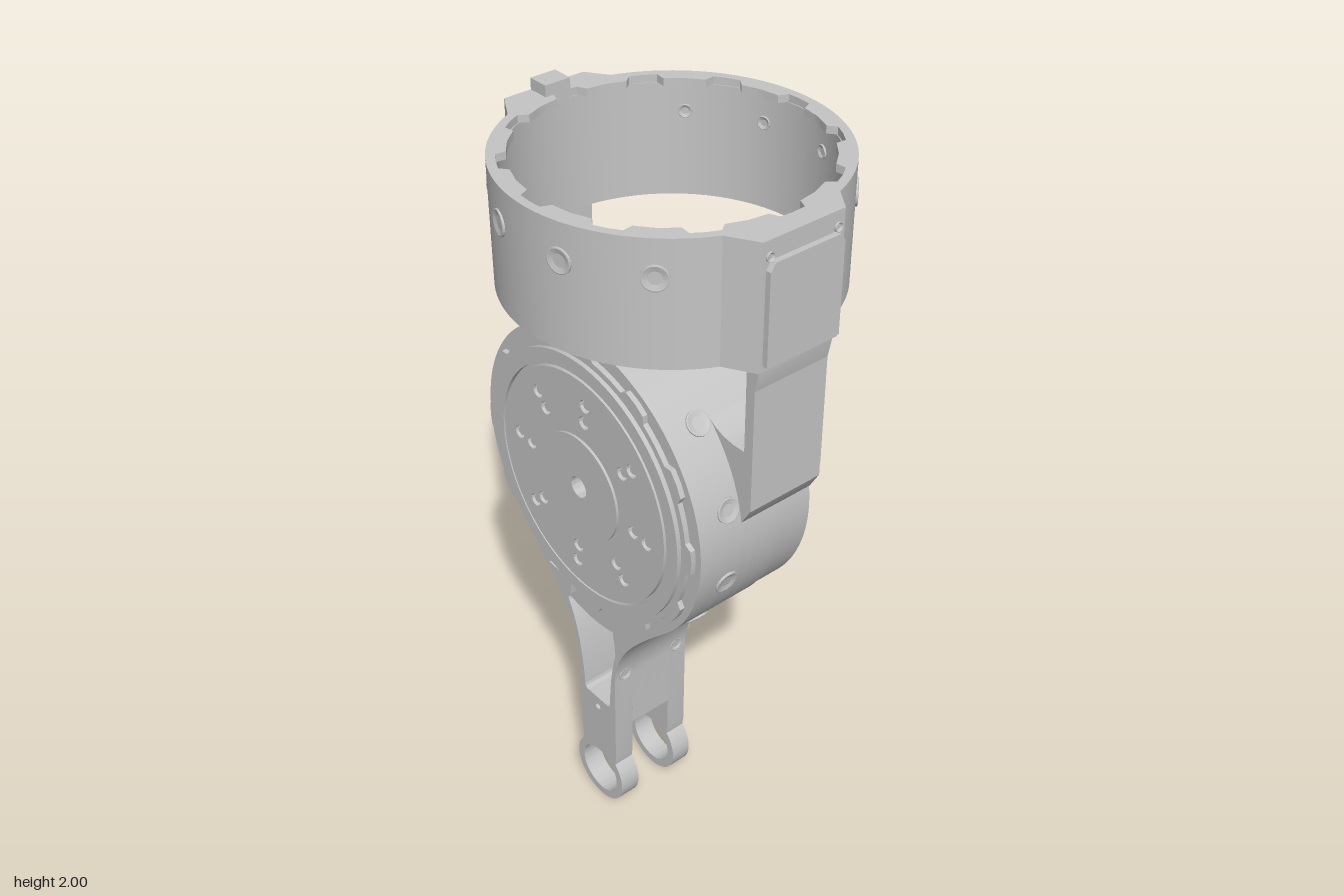
import * as THREE from 'three';
import { toCreasedNormals } from 'three/addons/utils/BufferGeometryUtils.js';

const V = (x, y, z) => new THREE.Vector3(x, y, z);
const MY = 1.14; // height of the motor axis

export function createModel() {
  const root = new THREE.Group();
  const grey = new THREE.MeshStandardMaterial({ color: 0xc4c4c4 });
  grey.name = 'lightGrey';
  const add = (name, geo) => {
    const m = new THREE.Mesh(geo, grey);
    m.name = name;
    root.add(m);
    return m;
  };
  const circle = (x, y, r) => new THREE.Path().absarc(x, y, r, 0, Math.PI * 2, true);
  const disk = (r, y = MY) => new THREE.Shape().absarc(0, y, r, 0, Math.PI * 2, false);
  const poly = pts => new THREE.Shape(pts.map(p => new THREE.Vector2(p[0], p[1])));
  const solid = (shape, depth) => toCreasedNormals(
    new THREE.ExtrudeGeometry(shape, { depth, bevelEnabled: false, curveSegments: 40 }), 0.5);
  // extrude from z0 to z1
  const slab = (name, shape, z0, z1, holes = []) => {
    shape.holes.push(...holes);
    return add(name, solid(shape, z1 - z0).translate(0, 0, z0));
  };
  const box = (name, x0, x1, y0, y1, z0, z1) => add(name,
    new THREE.BoxGeometry(x1 - x0, y1 - y0, z1 - z0).translate((x0 + x1) / 2, (y0 + y1) / 2, (z0 + z1) / 2));
  // countersunk screw seat standing on a surface
  const rim = (name, pos, dir, r) => {
    const pts = [[r, -0.008], [r, 0.004], [r * 0.92, 0.005], [r * 0.5, 0.001], [0, 0.001]];
    const m = add(name, toCreasedNormals(new THREE.LatheGeometry(pts.map(p => new THREE.Vector2(...p)), 24), 0.1));
    m.position.copy(pos);
    m.quaternion.setFromUnitVectors(V(0, 1, 0), dir);
  };
  const axle = () => circle(0, MY, 0.03);

  // Housing and arm, sliced along z so the pockets and the fork stay open
  const armOutline = fork => {
    const s = new THREE.Shape();
    s.absarc(0, MY, 0.425, -Math.PI / 4, Math.PI * 1.25, false);
    s.bezierCurveTo(-0.17, 0.71, -0.085, 0.62, -0.08, 0.5);
    if (fork) {
      s.lineTo(-0.075, 0.2);
      s.absarc(0, 0.1, 0.1, Math.PI * 0.75, Math.PI * 2.25, false);
      s.lineTo(0.075, 0.2);
    } else {
      s.lineTo(-0.077, 0.31);
      s.lineTo(0.077, 0.31);
    }
    s.lineTo(0.08, 0.5);
    s.bezierCurveTo(0.085, 0.62, 0.17, 0.71, 0.3005, 0.8395);
    return s;
  };
  const pocket = () => {
    const p = new THREE.Path();
    p.moveTo(-0.1, 0.69);
    p.quadraticCurveTo(0, 0.66, 0.1, 0.69);
    p.quadraticCurveTo(0.125, 0.69, 0.11, 0.665);
    p.quadraticCurveTo(0.065, 0.58, 0.055, 0.4);
    p.quadraticCurveTo(0.055, 0.385, 0.04, 0.385);
    p.lineTo(-0.04, 0.385);
    p.quadraticCurveTo(-0.055, 0.385, -0.055, 0.4);
    p.quadraticCurveTo(-0.065, 0.58, -0.11, 0.665);
    p.quadraticCurveTo(-0.125, 0.69, -0.1, 0.69);
    return p;
  };
  const eye = () => circle(0, 0.1, 0.075);
  const pin = () => circle(0, 0.35, 0.01);
  slab('armBackCheek', armOutline(true), 0.02, 0.08, [axle(), pocket(), eye(), pin()]);
  slab('armBackCore', armOutline(false), 0.08, 0.12, [axle(), pocket()]);
  slab('armWeb', armOutline(false), 0.12, 0.16, [axle()]);
  slab('armFrontCore', armOutline(false), 0.16, 0.21, [axle(), pocket()]);
  slab('armFrontCheek', armOutline(true), 0.21, 0.27, [axle(), pocket(), eye(), pin()]);
  for (const s of [-1, 1])
    for (const z of [0.055, 0.235]) rim('armScrew', V(0.079 * s, 0.515, z), V(s, 0, 0), 0.02);
  for (let i = 0; i < 12; i++) {
    const a = (15 + 30 * i) * Math.PI / 180;
    if (Math.sin(a) < -0.8) continue;
    const d = V(Math.cos(a), Math.sin(a), 0);
    rim('housingScrew', d.clone().multiplyScalar(0.425).add(V(0, MY, 0.175)), d, 0.033);
  }

  // Rear skirt of the housing with a sloped notch at the top
  const pos = [], idx = [], N = 144;
  for (let i = 0; i <= N; i++) {
    const a = Math.PI / 2 + i / N * Math.PI * 2;
    const x = Math.abs(0.422 * Math.cos(a));
    const back = Math.sin(a) > 0 ? THREE.MathUtils.clamp(0.02 - (x - 0.06) * 0.98, -0.085, 0.019) : -0.085;
    for (const [r, z] of [[0.422, 0.02], [0.422, back], [0.39, back], [0.39, 0.02]])
      pos.push(r * Math.cos(a), MY + r * Math.sin(a), z);
    if (i < N) for (let k = 0; k < 4; k++) {
      const p = i * 4 + k, q = i * 4 + (k + 1) % 4;
      idx.push(p, q, p + 4, q, q + 4, p + 4);
    }
  }
  const skirt = new THREE.BufferGeometry();
  skirt.setAttribute('position', new THREE.Float32BufferAttribute(pos, 3));
  skirt.setIndex(idx);
  add('housingSkirt', toCreasedNormals(skirt, 0.5));

  // Motor body and its rear cover
  slab('motorBody', disk(0.398), -0.1, 0.02, [axle()]);
  slab('rearCover', disk(0.392), -0.113, -0.1, [axle()]);
  slab('rearBearing', disk(0.055), -0.121, -0.113, [circle(0, MY, 0.042)]);
  slab('rearBearingRace', disk(0.038), -0.118, -0.113, [axle()]);
  for (const [a0, a1] of [[0.55, 1.15], [1.95, 2.95]]) {
    const s = new THREE.Shape();
    s.absarc(0, MY, 0.33, a0, a1, false);
    s.absarc(0, MY, 0.16, a1, a0, true);
    slab('rearLabelPanel', s, -0.115, -0.113);
  }
  const rect = (x0, x1, y0, y1) => poly([[x0, y0], [x1, y0], [x1, y1], [x0, y1]]);
  slab('connectorBlock', rect(-0.1, 0.19, 0.79, 0.89), -0.143, -0.112,
    [rect(-0.08, 0.035, 0.815, 0.865), rect(0.055, 0.17, 0.815, 0.865)]);
  slab('smallSocket', rect(-0.24, -0.15, 0.95, 1.06), -0.122, -0.112, [rect(-0.225, -0.165, 0.97, 1.04)]);
  box('socketCore', -0.21, -0.18, 0.985, 1.025, -0.119, -0.112);
  rim('notchScrew', V(-0.065, 1.535, -0.085), V(0, 1, 0), 0.018);

  // Front output stage: lobed ring, face plate with bolt holes, hub
  const lobes = [];
  for (let i = 0; i < 12; i++)
    for (const [d, r] of [[-11, 0.387], [-7, 0.387], [-5, 0.405], [0, 0.407], [5, 0.405], [7, 0.387], [11, 0.387], [15, 0.387]]) {
      const a = (i * 30 + d) * Math.PI / 180;
      lobes.push([r * Math.cos(a), MY + r * Math.sin(a)]);
    }
  slab('lobedRing', poly(lobes), 0.27, 0.284, [axle()]);
  slab('faceRim', disk(0.37), 0.284, 0.296, [circle(0, MY, 0.33)]);
  const bolts = [axle()];
  for (let i = 0; i < 8; i++) {
    const a = (84 - 45 * i) * Math.PI / 180;
    for (const r of i % 2 ? [0.214, 0.26] : [0.206, 0.257])
      bolts.push(circle(r * Math.cos(a), MY + r * Math.sin(a), 0.018));
  }
  const centres = bolts.slice(1).map(p => p.curves[0]);
  slab('facePlate', disk(0.322), 0.284, 0.297, bolts);
  for (const c of centres)
    slab('faceBolt', new THREE.Shape().absarc(c.aX, c.aY, 0.011, 0, Math.PI * 2, false), 0.284, 0.292);
  slab('hub', disk(0.15), 0.297, 0.304, [axle()]);
  slab('lockTab', poly([[-0.17, 0.78], [-0.175, 0.75], [-0.08, 0.725], [-0.075, 0.77]]), 0.26, 0.288);

  // Top collar: flanked ring with a notched lip
  const collar = () => {
    const s = new THREE.Shape();
    s.absarc(0, 0, 0.425, 0.45, Math.PI - 0.45, false);
    s.lineTo(-0.46, 0.14);
    s.lineTo(-0.46, -0.1);
    s.absarc(0, 0, 0.425, Math.PI + 0.34, Math.PI * 2 - 0.34, false);
    s.lineTo(0.46, -0.1);
    s.lineTo(0.46, 0.14);
    return s;
  };
  const lay = (name, shape, hole, y0, y1) => {
    shape.holes.push(hole);
    add(name, solid(shape, y1 - y0).rotateX(Math.PI / 2).translate(0, y1, 0));
  };
  lay('collarWall', collar(), circle(0, 0, 0.4), 1.643, 1.95);
  const teeth = [];
  for (let i = 0; i < 12; i++)
    for (const [d, r] of [[-15, 0.38], [-11, 0.378], [-7, 0.378], [-5, 0.402], [0, 0.403], [5, 0.402], [7, 0.378], [11, 0.378]]) {
      const a = (i * 30 + d) * Math.PI / 180;
      teeth.push([r * Math.cos(a), r * Math.sin(a)]);
    }
  lay('collarLip', collar(), poly(teeth), 1.95, 1.97);
  for (let i = 0; i < 12; i++) {
    const a = (15 + 30 * i) * Math.PI / 180;
    if (Math.abs(Math.cos(a)) > 0.9) continue;
    const d = V(Math.cos(a), 0, Math.sin(a));
    rim('collarScrew', d.clone().multiplyScalar(0.425).setY(1.875), d, 0.033);
    rim('collarInnerScrew', d.clone().multiplyScalar(0.4).setY(1.875), d.clone().negate(), 0.018);
  }
  box('collarKey', -0.46, -0.4, 1.95, 2, -0.015, 0.06);

  // Side brackets joining collar and housing
  const sidePlate = (name, s, x0, x1, pts, holes = []) => {
    const shape = poly(pts.map(([z, y]) => [-z, y]));
    shape.holes.push(...holes.map(([z, y, r]) => circle(-z, y, r)));
    add(name, solid(shape, x1 - x0).rotateY(Math.PI / 2).translate(s > 0 ? x0 : -x1, 0, 0));
  };
  const pairs = rows => rows.flatMap(([y, r]) => [[0.065, y, r], [-0.01, y, r]]);
  const strap = [[0.14, 1.25], [0.14, 1.61], [-0.085, 1.61], [-0.085, 1.29], [-0.06, 1.25]];
  for (const s of [-1, 1]) {
    sidePlate('upperBracket', s, 0.46, 0.475,
      [[0.13, 1.66], [0.13, 1.9], [0.115, 1.92], [-0.075, 1.92], [-0.09, 1.9], [-0.09, 1.66]],
      pairs([[1.87, 0.014], [1.79, 0.014], [1.715, 0.014]]));
    sidePlate('lowerStrapBacking', s, 0.422, 0.438, strap);
    sidePlate('lowerStrap', s, 0.438, 0.45, strap, pairs([[1.505, 0.019], [1.385, 0.014], [1.305, 0.014]]));
    const mirror = pts => poly(pts.map(([x, y]) => [x * s, y]));
    slab('strapShoulder', mirror([[0.422, 1.59], [0.45, 1.59], [0.46, 1.64], [0.46, 1.67], [0.422, 1.67]]), -0.085, 0.14);
    slab('housingEar', mirror([[0.25, 1.42], [0.29, 1.448], [0.32, 1.427], [0.35, 1.415], [0.385, 1.409], [0.449, 1.41],
      [0.449, 1.25], [0.42, 1.2], [0.38, 1.17], [0.25, 1.2]]), -0.085, 0.14);
    for (const z of [0.12, -0.08]) rim('bracketScrew', V(0.46 * s, 1.93, z), V(s, 0, 0), 0.012);
  }

  // Cable clip behind the arm
  sidePlate('cableClip', 1, -0.01, 0.01,
    [[0.13, 0.45], [0.13, 0.57], [-0.04, 0.57], [-0.06, 0.55], [-0.06, 0.47], [-0.04, 0.45]], [[-0.027, 0.51, 0.013]]);
  box('clipStem', -0.015, 0.015, 0.55, 0.7, 0.03, 0.13);

  return root;
}
